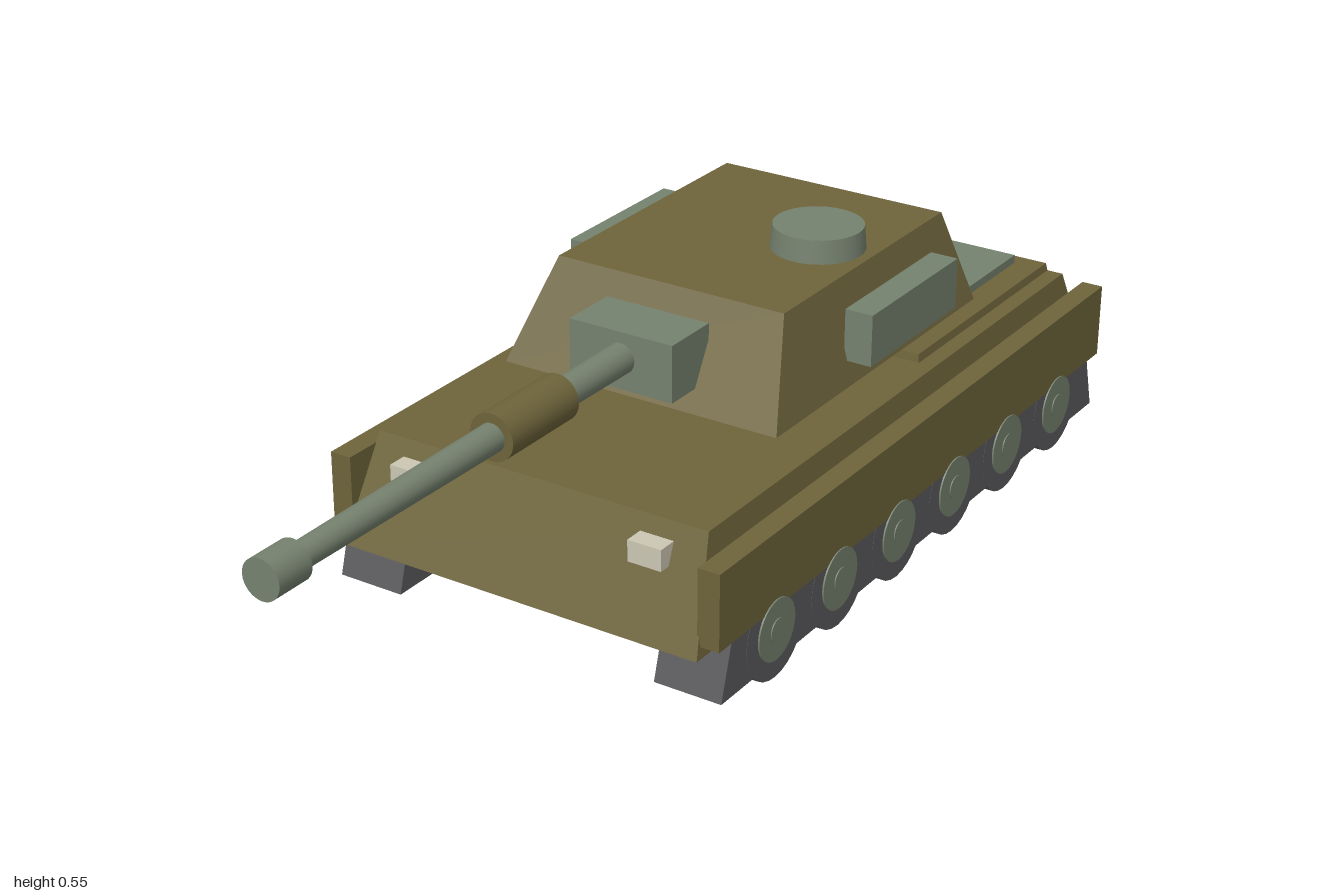
import * as THREE from 'three';

const mat = (name, color) => {
  const m = new THREE.MeshStandardMaterial({ color });
  m.name = name;
  return m;
};

export function createModel() {
  const olive = mat('olive armour', 0x6e643b);
  const steel = mat('grey-green steel', 0x76826f);
  const rubber = mat('dark rubber', 0x5b5a5d);
  const cream = mat('headlight cream', 0xccc7b4);
  const red = mat('tail light red', 0xb53a3a);

  const model = new THREE.Group();
  model.name = 'tank';

  const add = (name, geometry, material, parent = model) => {
    const mesh = new THREE.Mesh(geometry, material);
    mesh.name = name;
    parent.add(mesh);
    return mesh;
  };

  // Box given by its limits on each axis
  const block = (x0, x1, y0, y1, z0, z1) =>
    new THREE.BoxGeometry(x1 - x0, y1 - y0, z1 - z0)
      .translate((x0 + x1) / 2, (y0 + y1) / 2, (z0 + z1) / 2);

  // Box whose top face has its own limits: [x0, x1, z0, z1]
  const tapered = (y0, y1, bottom, top) => {
    const g = new THREE.BoxGeometry(1, 1, 1);
    const p = g.attributes.position;
    for (let i = 0; i < p.count; i++) {
      const up = p.getY(i) > 0;
      const [x0, x1, z0, z1] = up ? top : bottom;
      p.setXYZ(i, p.getX(i) > 0 ? x1 : x0, up ? y1 : y0, p.getZ(i) > 0 ? z1 : z0);
    }
    g.computeVertexNormals();
    return g;
  };

  // Round part along the gun axis, from z0 to z1
  const gunY = 0.427;
  const gunPart = (name, r0, r1, z0, z1, material) =>
    add(name, new THREE.CylinderGeometry(r1, r0, z1 - z0, 32)
      .rotateX(Math.PI / 2).translate(0, gunY, (z0 + z1) / 2), material);

  // Hull and rear deck
  add('hull', tapered(0.11, 0.302, [-0.355, 0.355, -1, 0.4], [-0.328, 0.328, -0.925, 0.325]), olive);
  add('rearDeck', tapered(0.3, 0.317, [-0.297, 0.297, -0.925, -0.415], [-0.294, 0.294, -0.922, -0.417]), olive);
  add('engineCover', block(-0.243, 0.243, 0.315, 0.333, -0.89, -0.54), steel);

  // Turret
  add('turret', tapered(0.333, 0.51, [-0.276, 0.276, -0.66, 0.037], [-0.228, 0.228, -0.607, -0.06]), olive);
  add('cupola', new THREE.CylinderGeometry(0.081, 0.085, 0.045, 40).translate(0.125, 0.5305, -0.345), steel);

  // Gun
  add('mantlet', block(-0.103, 0.103, 0.37, 0.475, -0.025, 0.087), steel);
  gunPart('barrel', 0.028, 0.022, 0.08, 0.95, steel);
  gunPart('barrelSleeve', 0.042, 0.042, 0.268, 0.448, olive);
  gunPart('muzzle', 0.035, 0.035, 0.927, 1, steel);

  // Parts repeated on both sides
  for (const s of [1, -1]) {
    const side = new THREE.Group();
    side.name = s > 0 ? 'leftSide' : 'rightSide';
    model.add(side);
    const span = (a, b) => (s > 0 ? [a, b] : [-b, -a]);

    add('sideSkirt', block(...span(0.346, 0.387), 0.13, 0.27, -0.98, 0.385), olive, side);
    add('stowageBox', block(...span(0.258, 0.311), 0.375, 0.47, -0.517, -0.213), steel, side);
    add('headlight', block(...span(0.206, 0.27), 0.234, 0.273, 0.32, 0.373), cream, side);
    add('tailLight', block(...span(0.208, 0.276), 0.22, 0.246, -0.993, -0.93), red, side);
    add('track', tapered(0.03, 0.135,
      [...span(0.258, 0.386), -0.965, 0.375], [...span(0.258, 0.386), -0.935, 0.345]), rubber, side);

    // Road wheels: tyre, hub and axle cap
    for (let i = 0; i < 6; i++) {
      const wheel = new THREE.Group();
      wheel.name = 'roadWheel';
      wheel.position.set(s * 0.322, 0.09, 0.211 - i * 0.2032);
      side.add(wheel);
      const disc = (name, r, width, material) =>
        add(name, new THREE.CylinderGeometry(r, r, width, 28).rotateZ(Math.PI / 2), material, wheel);
      disc('tyre', 0.09, 0.129, rubber);
      disc('hub', 0.056, 0.135, steel);
      disc('axleCap', 0.021, 0.139, steel);
    }
  }

  return model;
}
